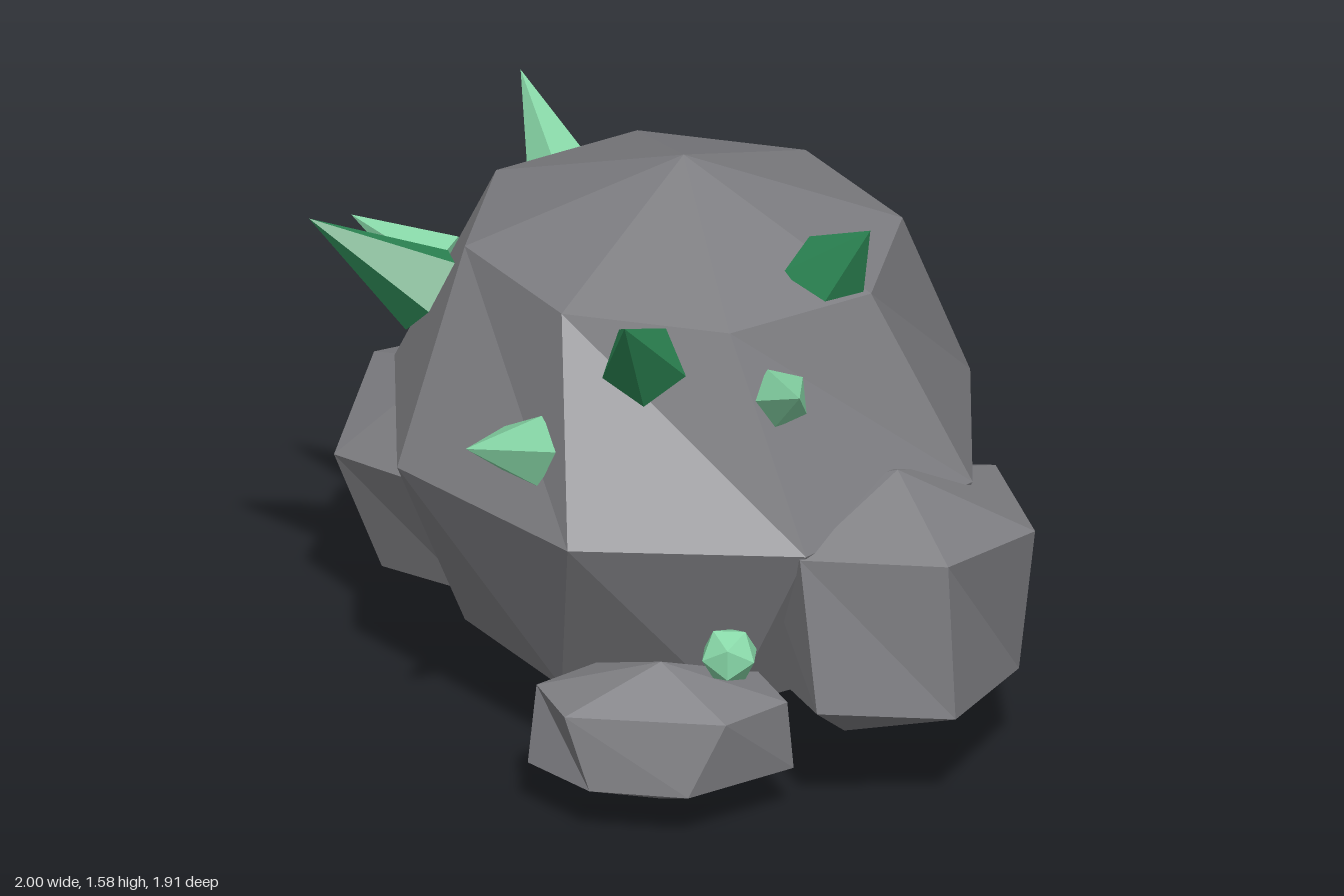
import * as THREE from 'three';

const stone = new THREE.MeshStandardMaterial({ color: 0x7e7e82 });
stone.name = 'stone grey';
const deepGreen = new THREE.MeshStandardMaterial({ color: 0x2e8b57 });
deepGreen.name = 'deep green crystal';
const paleGreen = new THREE.MeshStandardMaterial({ color: 0x88d8a8 });
paleGreen.name = 'pale green crystal';

// Mesh with one normal per face
function facetedMesh(name, geometry, material) {
  const geo = geometry.index ? geometry.toNonIndexed() : geometry;
  geo.computeVertexNormals();
  const mesh = new THREE.Mesh(geo, material);
  mesh.name = name;
  return mesh;
}

// Main boulder: eight-sided sphere, skewed, with its middle ring twisted
function boulderGeometry() {
  const geo = new THREE.SphereGeometry(1, 8, 4);
  const pos = geo.attributes.position;
  for (let i = 0; i < pos.count; i++) {
    const x = pos.getX(i), y = pos.getY(i), z = pos.getZ(i);
    const [ax, az, bx, bz] = Math.abs(y) < 0.1
      ? [0.25, -0.86, 0.81, 0.34]
      : [0.41, -0.764, 0.757, 0.495];
    pos.setXYZ(i, 0.01 + x * ax + z * bx, 0.795 + y * 0.79, -0.07 + x * az + z * bz);
  }
  return geo;
}

// Small rock: two rings (left, front, right, back) closed by a top and a bottom point
function rockGeometry(top, upper, lower, bottom) {
  const corners = [];
  const n = upper.length;
  for (let i = 0; i < n; i++) {
    const j = (i + 1) % n;
    corners.push(top, upper[i], upper[j]);
    corners.push(upper[i], lower[i], lower[j], upper[i], lower[j], upper[j]);
    corners.push(bottom, lower[j], lower[i]);
  }
  const geo = new THREE.BufferGeometry();
  geo.setAttribute('position', new THREE.Float32BufferAttribute(corners.flat(), 3));
  return geo;
}

// Five-sided spike from a base centre to a tip
function spike(name, base, tip, radius, material) {
  const from = new THREE.Vector3(...base);
  const dir = new THREE.Vector3(...tip).sub(from);
  const length = dir.length();
  const geo = new THREE.ConeGeometry(radius, length, 5).translate(0, length / 2, 0);
  const mesh = facetedMesh(name, geo, material);
  mesh.position.copy(from);
  mesh.quaternion.setFromUnitVectors(new THREE.Vector3(0, 1, 0), dir.normalize());
  return mesh;
}

export function createModel() {
  const model = new THREE.Group();
  model.name = 'crystalBoulder';

  model.add(facetedMesh('mainBoulder', boulderGeometry(), stone));

  // Rocks leaning on the boulder
  model.add(facetedMesh('largeSideRock', rockGeometry(
    [0.63, 0.91, 0.45],
    [[0.2, 0.79, 0.42], [0.39, 0.785, 0.78], [0.79, 0.765, 0.75],
      [1.0, 0.72, 0.41], [0.86, 0.71, -0.02], [0.4, 0.75, 0.08]],
    [[0.25, 0.33, 0.45], [0.44, 0.35, 0.83], [0.81, 0.31, 0.75],
      [0.95, 0.27, 0.33], [0.75, 0.26, -0.06], [0.4, 0.28, 0.05]],
    [0.48, 0.09, 0.38]), stone));

  model.add(facetedMesh('frontRock', rockGeometry(
    [0.01, 0.45, 0.74],
    [[-0.33, 0.355, 0.71], [-0.24, 0.35, 0.9], [0.2, 0.35, 0.92],
      [0.355, 0.355, 0.77], [0.26, 0.355, 0.58], [-0.18, 0.355, 0.56]],
    [[-0.35, 0.145, 0.76], [-0.17, 0.145, 0.93], [0.1, 0.145, 0.955],
      [0.37, 0.145, 0.74], [0.19, 0.145, 0.55], [-0.08, 0.145, 0.53]],
    [0.01, 0.04, 0.74]), stone));

  model.add(facetedMesh('rearSideRock', rockGeometry(
    [-0.65, 0.77, -0.45],
    [[-0.96, 0.52, -0.35], [-0.72, 0.58, -0.07], [-0.45, 0.6, -0.25],
      [-0.4, 0.65, -0.6], [-0.58, 0.7, -0.8], [-0.877, 0.67, -0.69]],
    [[-0.83, 0.19, -0.35], [-0.57, 0.24, -0.1], [-0.35, 0.2, -0.3],
      [-0.36, 0.26, -0.77], [-0.58, 0.3, -0.82], [-0.86, 0.26, -0.66]],
    [-0.45, 0.12, -0.4]), stone));

  // Large dark crystals
  model.add(spike('leftDarkCrystal', [-0.67, 1.19, 0.0], [-1.0, 1.4, 0.02], 0.13, deepGreen));
  model.add(spike('frontDarkCrystal', [-0.05, 1.25, 0.55], [-0.08, 1.5, 0.86], 0.12, deepGreen));
  model.add(spike('topDarkCrystal', [0.42, 1.38, 0.24], [0.55, 1.585, 0.37], 0.125, deepGreen));

  // Slim pale crystals
  model.add(spike('frontPaleCrystal', [-0.36, 0.99, 0.57], [-0.51, 1.13, 0.87], 0.1, paleGreen));
  model.add(spike('smallPaleCrystal', [0.32, 1.17, 0.57], [0.39, 1.275, 0.79], 0.085, paleGreen));
  model.add(spike('sidePaleCrystal', [-0.66, 1.05, -0.43], [-0.93, 1.135, -0.57], 0.1, paleGreen));
  model.add(spike('rearPaleCrystal', [-0.36, 1.21, -0.66], [-0.5, 1.4, -0.96], 0.1, paleGreen));

  // Round gem resting by the front rock
  const gem = facetedMesh('roundGem', new THREE.IcosahedronGeometry(0.083, 0), paleGreen);
  gem.position.set(0.2, 0.505, 0.8);
  model.add(gem);

  return model;
}
